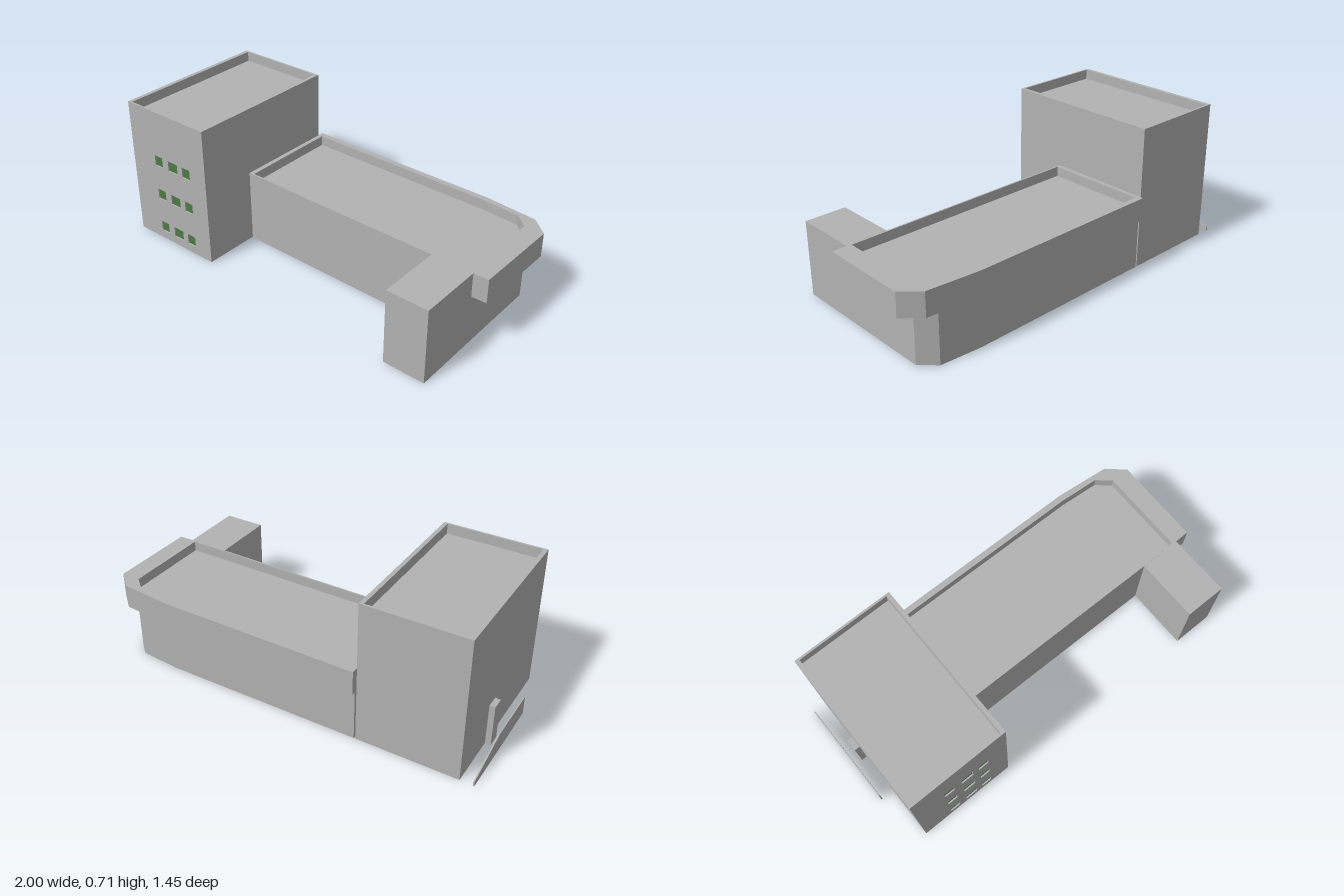
import * as THREE from 'three';

const wallMat = new THREE.MeshStandardMaterial({ name: 'concreteGrey', color: 0xb2b2b2, side: THREE.DoubleSide });
const glassMat = new THREE.MeshStandardMaterial({ name: 'windowGreen', color: 0x4d7a42 });

const toMesh = (name, geometry, material = wallMat) => {
  const mesh = new THREE.Mesh(geometry, material);
  mesh.name = name;
  return mesh;
};

const vectors = (plan) => plan.map(([x, z]) => new THREE.Vector2(x, -z));

// Upright prism from a plan outline of [x, z] points, with an optional hole
function prism(name, plan, y0, y1, hole) {
  const shape = new THREE.Shape(vectors(plan));
  if (hole) shape.holes.push(new THREE.Path(vectors(hole)));
  const geometry = new THREE.ExtrudeGeometry(shape, { depth: y1 - y0, bevelEnabled: false });
  geometry.rotateX(-Math.PI / 2).translate(0, y0, 0);
  return toMesh(name, geometry);
}

function box(name, x0, x1, y0, y1, z0, z1, material) {
  const geometry = new THREE.BoxGeometry(x1 - x0, y1 - y0, z1 - z0);
  geometry.translate((x0 + x1) / 2, (y0 + y1) / 2, (z0 + z1) / 2);
  return toMesh(name, geometry, material);
}

// Tower in its own frame: x along the front wall, -z towards the back
function createTower() {
  const tower = new THREE.Group();
  tower.name = 'tower';
  const W = 0.5, D = 0.81, H = 0.71, side = 0.02, thin = 0.01;

  // Side and back walls, open at the front
  tower.add(prism('towerWalls', [
    [0, -thin], [0, -D], [W, -D], [W, -thin],
    [W - side, -thin], [W - side, -D + thin], [side, -D + thin], [side, -thin],
  ], 0, H));
  tower.add(box('towerRoof', side, W - side, H - 0.07, H - 0.05, -D + thin, -thin));

  // Front wall pierced by a grid of windows
  const front = new THREE.Shape([[0, 0], [W, 0], [W, H], [0, H]].map(([x, y]) => new THREE.Vector2(x, y)));
  const columns = [[0.155, 0.207], [0.247, 0.31], [0.343, 0.395]];
  for (const y of [0.043, 0.23, 0.417]) {
    for (const [a, b] of columns) {
      const top = y + 0.055;
      front.holes.push(new THREE.Path([[a, y], [a, top], [b, top], [b, y]].map(([u, v]) => new THREE.Vector2(u, v))));
      tower.add(box('windowPane', a, b, y, top, -0.012, -0.007, glassMat));
    }
  }
  const frontGeometry = new THREE.ExtrudeGeometry(front, { depth: thin, bevelEnabled: false });
  tower.add(toMesh('towerFrontWall', frontGeometry.translate(0, 0, -thin)));

  // Side entrance and the ramp wall that screens it
  tower.add(box('sideEntrance', -0.027, 0, 0, 0.21, -0.541, -0.478));
  const ramp = new THREE.Shape([[0.263, 0], [0.813, 0], [0.813, 0.025], [0.56, 0.095], [0.263, 0.095]]
    .map(([d, y]) => new THREE.Vector2(d, y)));
  const rampGeometry = new THREE.ExtrudeGeometry(ramp, { depth: 0.006, bevelEnabled: false });
  tower.add(toMesh('rampWall', rampGeometry.rotateY(Math.PI / 2).translate(-0.068, 0, 0)));

  tower.position.set(-1, 0, 0.06);
  tower.rotation.y = -0.354;
  return tower;
}

// Low wing with hollow walls, sunken roof, and a band overhanging its back and end
function createWing() {
  const wing = new THREE.Group();
  wing.name = 'wing';
  const H = 0.375;
  const outer = [[0.767, 0.42], [0.925, 0], [0.882, -0.09], [0.69, -0.18], [-0.243, -0.524]];
  const inner = [[0.75, 0.405], [0.906, -0.003], [0.864, -0.081], [0.682, -0.164], [-0.226, -0.508], [-0.403, -0.032]];
  wing.add(prism('wingWalls', [...outer, [-0.428, -0.033]], 0, H, inner));
  wing.add(prism('wingRoof', inner, H - 0.07, H - 0.05));
  wing.add(prism('overhangBand', [
    [0.837, 0.444], [0.997, 0.03], [0.944, -0.072], [0.7, -0.19], [-0.236, -0.543],
    ...outer.slice().reverse(),
  ], 0.255, H));
  wing.add(prism('annex', [[0.573, 0.347], [0.46, 0.648], [0.655, 0.72], [0.767, 0.42]], 0, H));
  return wing;
}

export function createModel() {
  const model = new THREE.Group();
  model.name = 'building';
  model.add(createTower(), createWing());
  return model;
}
